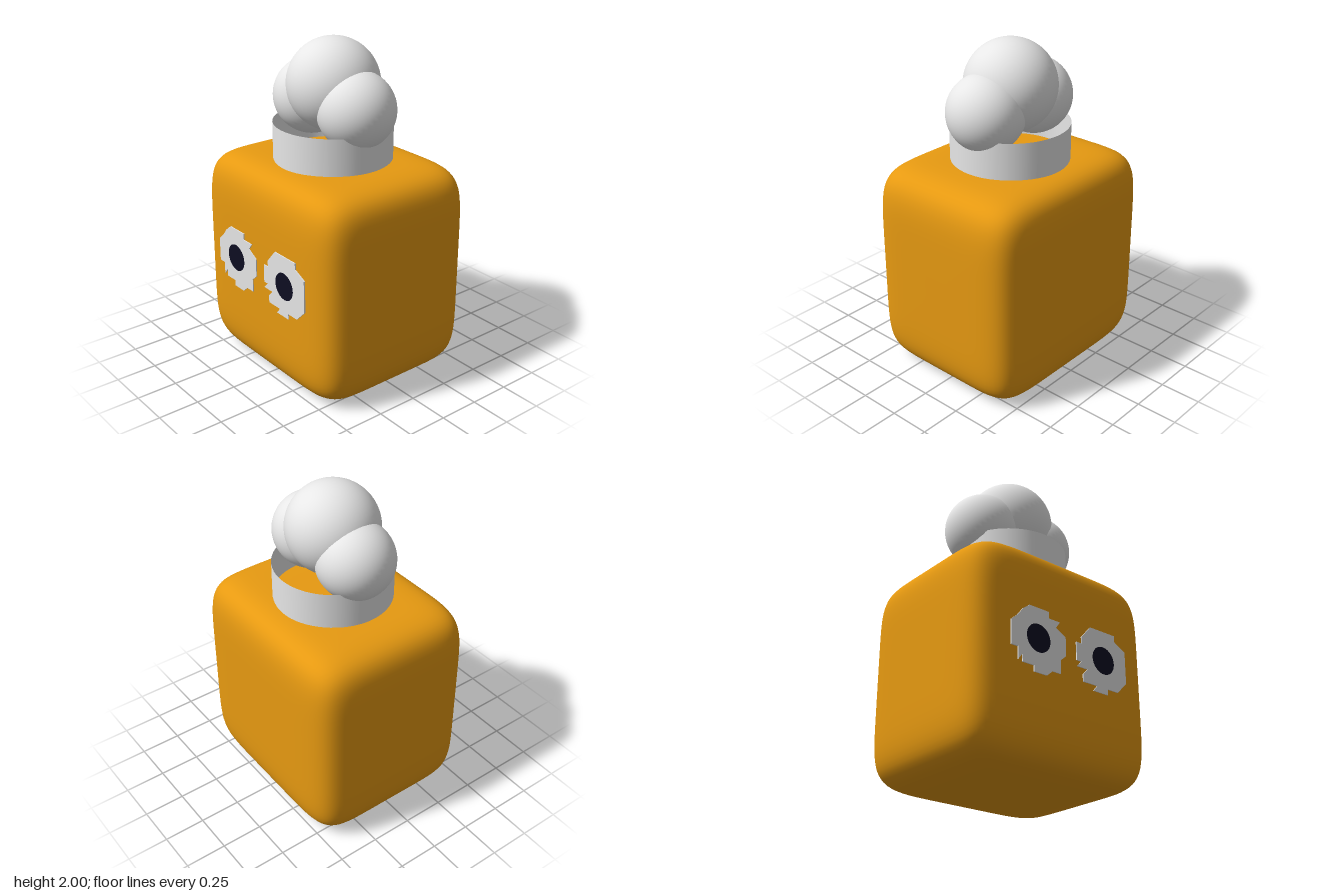
import * as THREE from 'three';

const mat = (name, color, side = THREE.FrontSide) => {
  const m = new THREE.MeshStandardMaterial({ color, side });
  m.name = name;
  return m;
};

// Box pushed onto a superellipsoid: soft cube with gently bulging faces
function softBox(a, b, c, n) {
  const g = new THREE.BoxGeometry(2, 2, 2, 32, 32, 32);
  const pos = g.attributes.position, nor = g.attributes.normal;
  const p = new THREE.Vector3(), v = new THREE.Vector3();
  const grad = (t, s) => Math.sign(t) * Math.abs(t) ** (n - 1) / s;
  for (let i = 0; i < pos.count; i++) {
    p.fromBufferAttribute(pos, i);
    const len = (Math.abs(p.x) ** n + Math.abs(p.y) ** n + Math.abs(p.z) ** n) ** (1 / n);
    p.divideScalar(len);
    v.set(grad(p.x, a), grad(p.y, b), grad(p.z, c)).normalize();
    pos.setXYZ(i, p.x * a, p.y * b, p.z * c);
    nor.setXYZ(i, v.x, v.y, v.z);
  }
  return g;
}

// Ragged outlines of the eye whites, in hundredths of a unit
const rightEye = [
  [-30, 88], [-16, 88], [-16, 84], [-8, 84], [-11, 80], [-4, 76], [-4, 65], [-8, 61.5],
  [-8, 53.5], [-14, 53.5], [-18, 50], [-27, 50], [-27, 53.5], [-35, 53.5], [-35, 58],
  [-38, 54], [-38, 61.5], [-42.5, 61.5], [-42.5, 76], [-38, 80], [-34.5, 84.5],
];
const leftEye = [
  [15, 88], [34, 88], [34, 84], [42, 80], [42, 60.5], [35, 53.5], [27, 53.5], [27, 50],
  [16, 50], [19, 53.5], [8.5, 53.5], [8.5, 58], [12, 61.5], [4, 61.5], [7.5, 65],
  [4, 65], [4, 76], [8, 76], [8, 80],
];

export function createModel() {
  const model = new THREE.Group();
  const orange = mat('orange body', 0xe79a11);
  const white = mat('white', 0xe7e7e7);
  const whiteOpen = mat('white band', 0xe7e7e7, THREE.DoubleSide);
  const dark = mat('dark pupil', 0x0d0d22);
  const add = (name, geo, material, x, y, z) => {
    const m = new THREE.Mesh(geo, material);
    m.name = name;
    m.position.set(x, y, z);
    model.add(m);
  };

  // Body
  add('body', softBox(0.643, 0.645, 0.535, 7), orange, 0, 0.646, -0.004);

  // Hat: open band and three puffs
  add('hatBand', new THREE.CylinderGeometry(0.352, 0.352, 0.29, 64, 1, true), whiteOpen, 0, 1.365, -0.004);
  add('hatPuffCentre', new THREE.SphereGeometry(0.273, 48, 32), white, 0, 1.727, -0.006);
  for (const s of [-1, 1]) {
    add(s < 0 ? 'hatPuffRight' : 'hatPuffLeft', new THREE.SphereGeometry(0.229, 48, 32), white, s * 0.206, 1.617, -0.006);
  }

  // Eyes: thin plates on the front face
  for (const [side, outline, x] of [['right', rightEye, -0.24], ['left', leftEye, 0.24]]) {
    const shape = new THREE.Shape(outline.map(([px, py]) => new THREE.Vector2(px / 100, py / 100)));
    add(side + 'EyeWhite', new THREE.ExtrudeGeometry(shape, { depth: 0.009, bevelEnabled: false }), white, 0, 0, 0.528);
    add(side + 'Pupil', new THREE.CircleGeometry(0.083, 40), dark, x, 0.698, 0.541);
  }
  return model;
}
